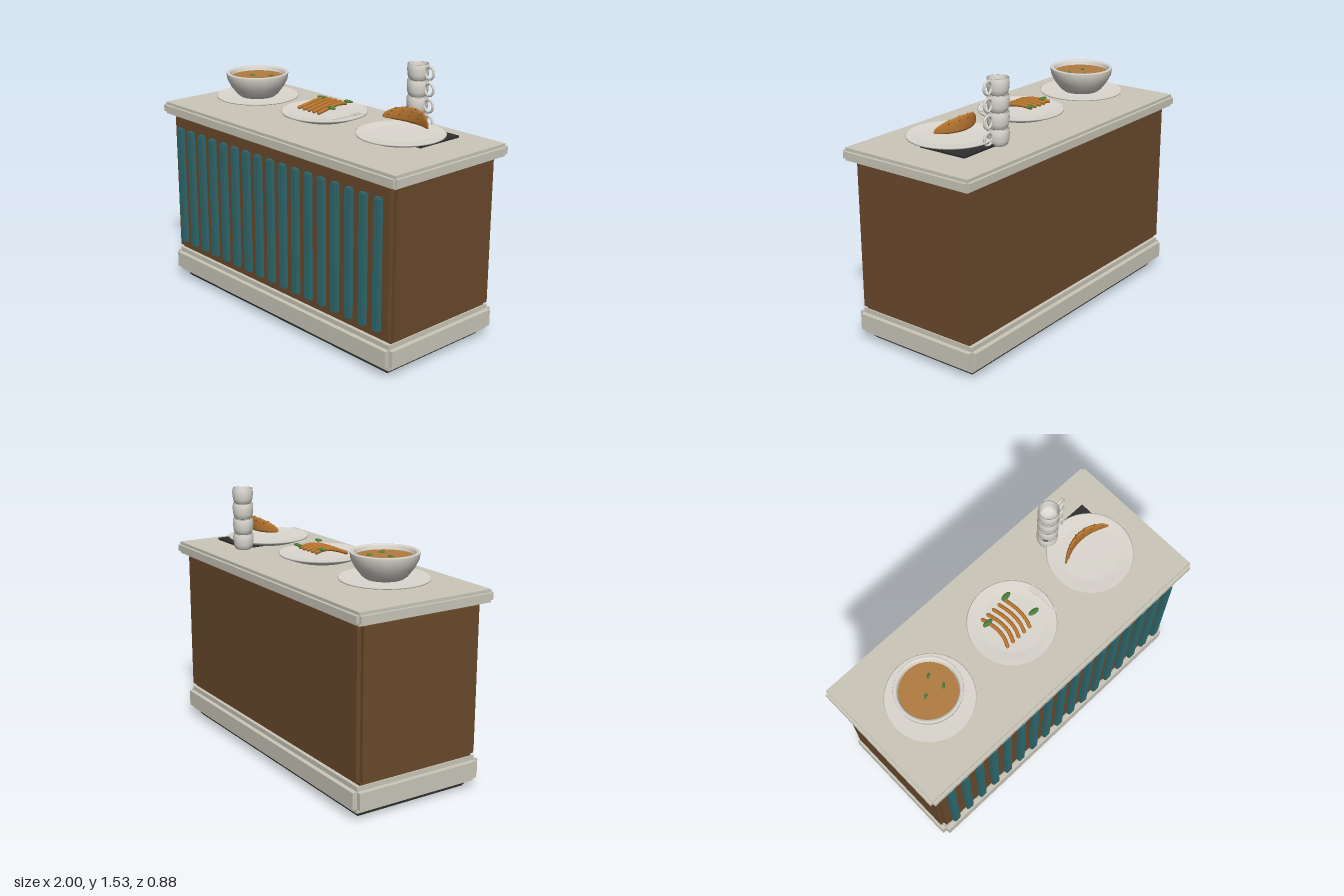
import * as THREE from 'three';

const mat = (name, color, side = THREE.FrontSide) => {
  const m = new THREE.MeshStandardMaterial({ color, side });
  m.name = name;
  return m;
};

export function createModel() {
  const root = new THREE.Group();
  root.name = 'servingCounter';
  const stone = mat('stone', 0xcbc7ba);
  const wood = mat('wood', 0x6b4a2d);
  const teal = mat('teal', 0x2f6a70);
  const black = mat('black', 0x2f2f30);
  const china = mat('china', 0xdcd8d0, THREE.DoubleSide);
  const soupMat = mat('soup', 0xb27c42);
  const crust = mat('crust', 0xb8752f);
  const herb = mat('herb', 0x4a8038);
  const seedMat = mat('seed', 0x6e5a3a);

  const add = (parent, name, geo, material, x = 0, y = 0, z = 0) => {
    const m = new THREE.Mesh(geo, material);
    m.name = name;
    m.position.set(x, y, z);
    parent.add(m);
    return m;
  };
  const group = (name, x = 0, y = 0, z = 0) => {
    const g = new THREE.Group();
    g.name = name;
    g.position.set(x, y, z);
    root.add(g);
    return g;
  };
  const lathe = (pts, seg = 40) => new THREE.LatheGeometry(pts.map(p => new THREE.Vector2(p[0], p[1])), seg);

  // Box with stepped edges: three boxes, each full size along one axis
  const steppedBox = (name, material, w, y0, y1, d, b, x = 0, z = 0) => {
    const h = y1 - y0, g = group(name, x, (y0 + y1) / 2, z), c = 2 * b;
    add(g, name + 'Wide', new THREE.BoxGeometry(w, h - c, d - c), material);
    add(g, name + 'Tall', new THREE.BoxGeometry(w - c, h, d - c), material);
    add(g, name + 'Deep', new THREE.BoxGeometry(w - c, h - c, d), material);
  };

  // Counter body
  steppedBox('toeKick', black, 1.8, 0, 0.06, 0.73, 0.012);
  steppedBox('plinth', stone, 1.92, 0.04, 0.19, 0.835, 0.027);
  steppedBox('cabinet', wood, 1.9, 0.19, 1.075, 0.787, 0.024);
  steppedBox('worktop', stone, 2, 1.067, 1.139, 0.875, 0.017);

  // Front slats
  for (let i = 0; i < 17; i++) {
    steppedBox('slat', teal, 0.05, 0.254, 0.994, 0.032, 0.006, (i - 8) * 0.107, 0.409);
  }

  // Soup bowl on a saucer
  const bowl = group('soupBowl', -0.61, 1.16, 0);
  add(bowl, 'saucer', lathe([[0, 0], [0.17, 0], [0.2, 0.005], [0.248, 0.017], [0.25, 0.023], [0.245, 0.026], [0.16, 0.02], [0, 0.02]]), china);
  add(bowl, 'bowl', lathe([[0, 0.02], [0.105, 0.02], [0.125, 0.035], [0.16, 0.08], [0.183, 0.125], [0.188, 0.16],
    [0.186, 0.165], [0.17, 0.165], [0.165, 0.155], [0.16, 0.125], [0.13, 0.07], [0, 0.05]]), china);
  add(bowl, 'soup', new THREE.CylinderGeometry(0.161, 0.155, 0.012, 40), soupMat, 0, 0.132, 0);

  // Herbs: flattened leaves, [x, y, z, length, turn]
  const leaf = new THREE.SphereGeometry(1, 14, 8);
  [[-0.556, 1.3, -0.062, 0.017, 0.6], [-0.643, 1.3, 0.013, 0.017, 0.5], [-0.535, 1.3, 0.035, 0.017, 0.7],
    [-0.11, 1.248, -0.075, 0.033, 0], [0.07, 1.248, -0.12, 0.033, 0.1], [0.116, 1.248, 0.05, 0.033, -0.1]
  ].forEach(([x, y, z, r, turn]) => {
    const m = add(root, 'herbLeaf', leaf, herb, x, y, z);
    m.scale.set(r, 0.008, r * 0.48);
    m.rotation.y = turn;
  });

  // Dinner plates
  const plateGeo = lathe([[0, 0], [0.16, 0], [0.19, 0.01], [0.247, 0.032], [0.25, 0.04], [0.244, 0.044], [0.19, 0.036], [0.16, 0.033], [0, 0.033]]);
  add(root, 'middlePlate', plateGeo, china, 0, 1.163, 0);
  add(root, 'rightPlate', plateGeo, china, 0.608, 1.163, 0).scale.set(0.985, 0.9, 0.985);

  // Curved strips on the middle plate
  for (let i = 0; i < 5; i++) {
    const x = -0.118 + i * 0.042, bow = 0.022 - i * 0.002;
    const path = new THREE.CatmullRomCurve3([[0, 1.213, 0.088], [bow * 0.8, 1.228, 0.045], [bow, 1.24, -0.01],
      [bow * 0.7, 1.242, -0.065], [0.004, 1.236, -0.112]].map(p => new THREE.Vector3(x + p[0], p[1], p[2])));
    add(root, 'strip', new THREE.TubeGeometry(path, 14, 0.011, 8), crust);
    for (const t of [0, 1]) {
      const p = path.getPoint(t);
      add(root, 'stripEnd', new THREE.SphereGeometry(0.011, 8, 6), crust, p.x, p.y, p.z);
    }
  }

  // Fork
  const fork = group('fork', 0.217, 1.215, 0);
  add(fork, 'handle', new THREE.BoxGeometry(0.008, 0.006, 0.15), china, 0, 0, 0.055);
  add(fork, 'neck', new THREE.BoxGeometry(0.034, 0.006, 0.008), china, 0, 0, -0.02);
  for (const x of [-0.014, 0, 0.014]) {
    add(fork, 'tine', new THREE.BoxGeometry(0.005, 0.006, 0.055), china, x, 0.001, -0.048);
  }

  // Crescent roll: an ellipsoid with flattened underside, soft ridges and a bend
  const L = 0.17, bend = x => -0.088 + 0.06 * (x / L) ** 2;
  const rollGeo = new THREE.SphereGeometry(1, 48, 24);
  rollGeo.rotateZ(Math.PI / 2);
  const p = rollGeo.attributes.position;
  for (let i = 0; i < p.count; i++) {
    const x = p.getX(i), y = p.getY(i), ridge = 1 + 0.03 * Math.cos(x * 20);
    p.setXYZ(i, x * L, y * ridge * (y > 0 ? 0.07 : 0.016), p.getZ(i) * 0.017 * ridge + bend(x * L));
  }
  rollGeo.computeVertexNormals();
  add(root, 'crescentRoll', rollGeo, crust, 0.61, 1.252, 0);

  // Seeds scattered over the roll
  for (let i = 0; i < 18; i++) {
    const u = -0.8 + 1.6 * i / 17, a = [0.35, 0.8, 1.3, 2.3][i % 4];
    const s = Math.sqrt(1 - u * u);
    add(root, 'seed', new THREE.SphereGeometry(0.005, 6, 5), seedMat,
      0.61 + u * L, 1.252 + 0.07 * s * Math.sin(a), bend(u * L) + 0.017 * s * Math.cos(a));
  }

  // Dark mat under the right plate
  add(root, 'mat', new THREE.BoxGeometry(0.32, 0.012, 0.3), black, 0.64, 1.17, -0.1);

  // Stack of cups with ring handles
  const cupGeo = lathe([[0, 0], [0.042, 0], [0.052, 0.008], [0.058, 0.03], [0.061, 0.06], [0.059, 0.091],
    [0.053, 0.091], [0.052, 0.06], [0.045, 0.015], [0, 0.012]], 28);
  const handleGeo = new THREE.TorusGeometry(0.031, 0.007, 8, 24);
  for (let i = 0; i < 4; i++) {
    const cup = group('cup', 0.503, 1.16 + i * 0.0915, -0.235);
    add(cup, 'cupBody', cupGeo, china);
    add(cup, 'cupHandle', handleGeo, china, 0.085, 0.05, 0).scale.y = 1.1;
  }
  return root;
}
